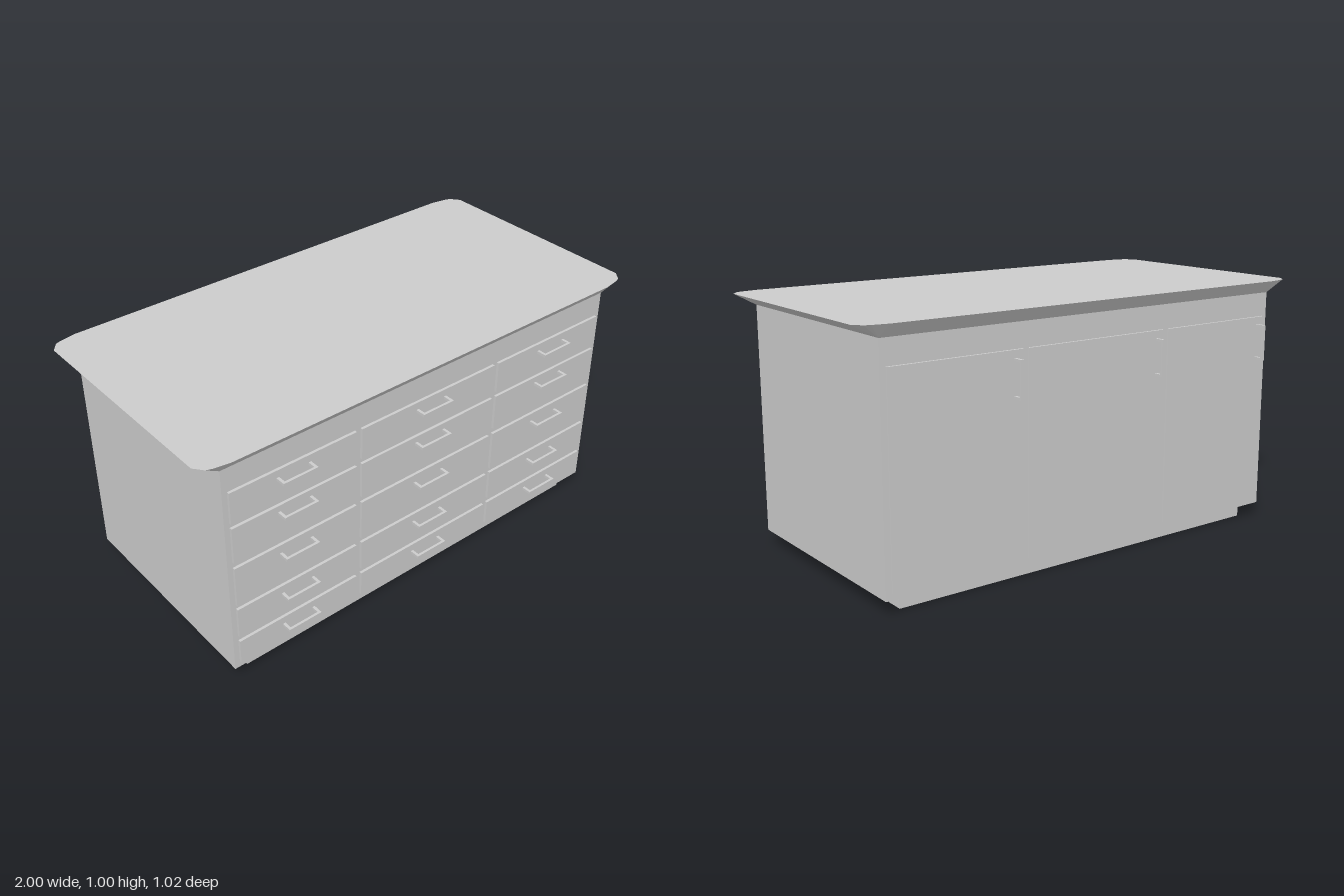
import * as THREE from 'three';
import { ConvexGeometry } from 'three/addons/geometries/ConvexGeometry.js';

const material = new THREE.MeshStandardMaterial({ color: 0xcccccc, flatShading: true });

// Body half sizes and the shared column / row layout of the fronts
const BX = 0.906, BZ = 0.457, Y0 = 0.055, Y1 = 0.95;
const columns = [[-0.885, -0.353], [-0.329, 0.314], [0.335, 0.884]];
const rows = [[0.08, 0.187], [0.21, 0.34], [0.36, 0.53], [0.555, 0.705], [0.725, 0.855]];
const pullHeights = [0.151, 0.301, 0.49, 0.674, 0.82];

function add(parent, name, geometry, x = 0, y = 0, z = 0) {
  const mesh = new THREE.Mesh(geometry, material);
  mesh.name = name;
  mesh.position.set(x, y, z);
  parent.add(mesh);
  return mesh;
}

function rect(PathType, x0, y0, x1, y1) {
  const p = new PathType();
  p.moveTo(x0, y0).lineTo(x1, y0).lineTo(x1, y1).lineTo(x0, y1).closePath();
  return p;
}

// Flat plate in XY with rectangular openings, extruded towards +z
function plate(outer, holes, depth) {
  const shape = rect(THREE.Shape, ...outer);
  shape.holes = holes.map((h) => rect(THREE.Path, ...h));
  return new THREE.ExtrudeGeometry(shape, { depth, bevelEnabled: false });
}

// Bar on two posts, standing out along +z from the local origin
function makePull(name) {
  const pull = new THREE.Group();
  pull.name = name;
  const length = 0.145, t = 0.011, reach = 0.041;
  add(pull, 'pullBar', new THREE.BoxGeometry(length, t, 0.01), 0, 0, reach - 0.005);
  for (const s of [-1, 1]) {
    add(pull, 'pullPost', new THREE.BoxGeometry(t, t, reach + 0.01), s * (length - t) / 2, 0, (reach - 0.015) / 2);
  }
  return pull;
}

export function createModel() {
  const model = new THREE.Group();
  model.name = 'kitchenIsland';

  // Countertop: chamfer-cornered top tapering down to the body rectangle
  const points = [];
  for (const sx of [-1, 1]) {
    for (const sz of [-1, 1]) {
      for (const [x, z] of [[1, 0.445], [0.972, 0.481], [0.95, 0.489], [0.885, 0.5]]) {
        points.push(new THREE.Vector3(sx * x, 1, sz * z));
      }
      points.push(new THREE.Vector3(sx * BX, Y1, sz * BZ));
    }
  }
  add(model, 'countertop', new ConvexGeometry(points));

  // Hollow body: side walls, front and back frames, bottom rim
  const wall = 0.015, inset = 0.004;
  for (const s of [-1, 1]) {
    add(model, 'sideWall', new THREE.BoxGeometry(wall, Y1 - Y0, 2 * BZ), s * (BX - wall / 2), (Y0 + Y1) / 2, 0);
  }
  const opening = ([x0, x1], [y0, y1]) => [x0 + inset, y0 + inset, x1 - inset, y1 - inset];
  const doorRow = [0.08, 0.855];
  const drawerHoles = columns.flatMap((c) => rows.map((r) => opening(c, r)));
  const doorHoles = columns.map((c) => opening(c, doorRow));
  const outer = [-BX, Y0, BX, Y1];
  add(model, 'frontFrame', plate(outer, drawerHoles, wall), 0, 0, BZ - wall);
  add(model, 'backFrame', plate(outer, doorHoles, wall), 0, 0, -BZ);
  const rim = plate([-BX, -BZ, BX, BZ], [[-0.82, -0.41, 0.82, 0.41]], 0.008);
  add(model, 'bottomRim', rim.rotateX(-Math.PI / 2), 0, Y0, 0);

  // Recessed open plinth
  const plinth = plate([-0.832, -0.42, 0.832, 0.42], [[-0.822, -0.41, 0.822, 0.41]], Y0 + 0.002);
  add(model, 'plinth', plinth.rotateX(-Math.PI / 2));

  const panel = ([x0, x1], [y0, y1], name, z) =>
    add(model, name, new THREE.BoxGeometry(x1 - x0, y1 - y0, 0.012), (x0 + x1) / 2, (y0 + y1) / 2, z);

  // Drawer fronts with horizontal pulls
  const drawerPullX = [-0.625, -0.005, 0.62];
  columns.forEach((c, i) => rows.forEach((r, j) => {
    panel(c, r, 'drawerFront', 0.462);
    const pull = makePull('drawerPull');
    pull.position.set(drawerPullX[i], pullHeights[j], 0.468);
    model.add(pull);
  }));

  // Back doors with vertical pulls
  for (const c of columns) {
    panel(c, doorRow, 'backDoor', -0.461);
    const pull = makePull('doorPull');
    pull.rotation.set(0, Math.PI, Math.PI / 2);
    pull.position.set(c[0] + 0.039, 0.753, -0.467);
    model.add(pull);
  }

  return model;
}
